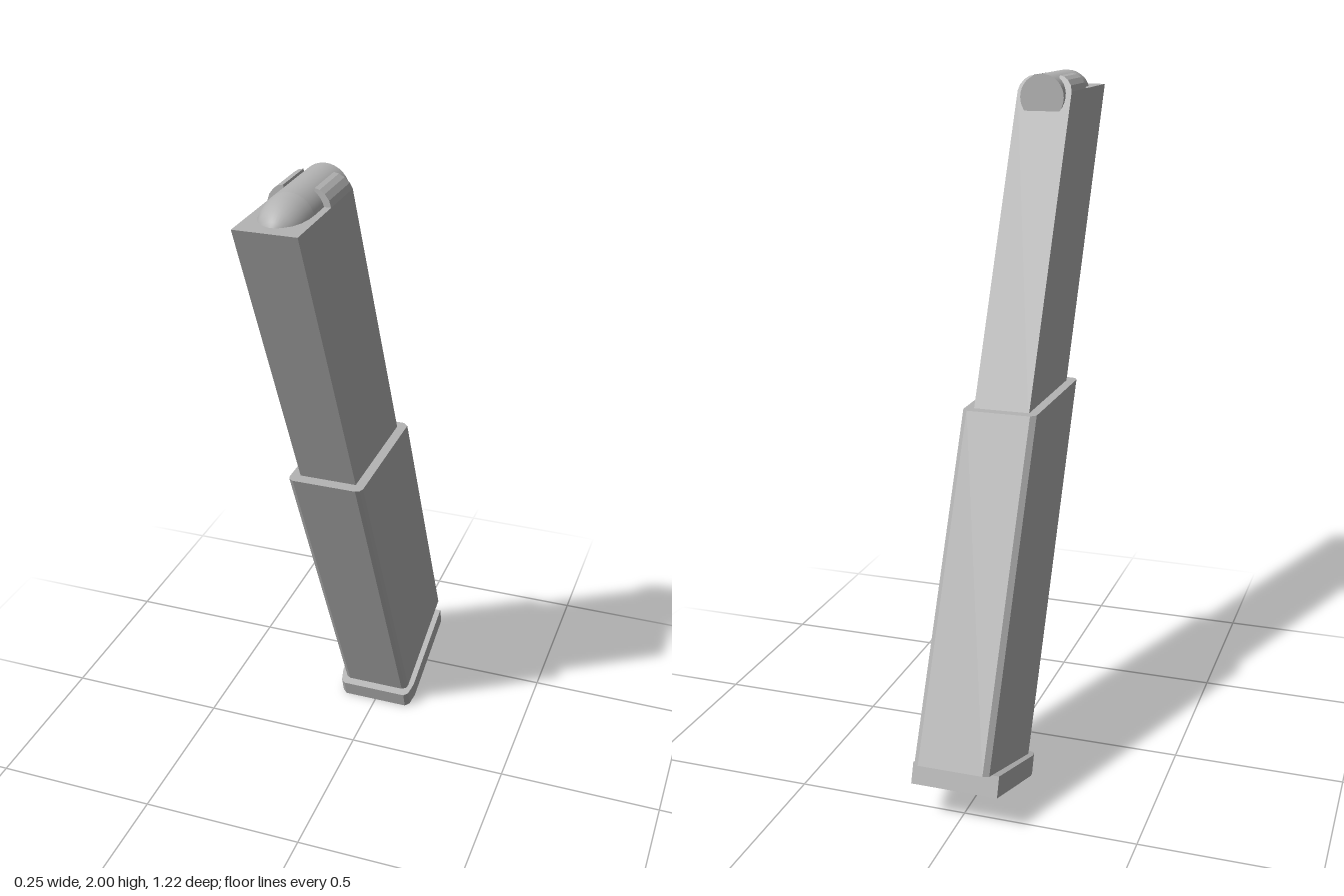
import * as THREE from 'three';

const LEAN = 0.466; // forward z shift per unit of height

const outline = (pts) => new THREE.Shape(pts.map(([x, y]) => new THREE.Vector2(x, y)));

// Mirrors a half outline (x > 0, front to back) into a closed one
const mirrored = (half) => half.concat(half.slice().reverse().map(([x, y]) => [-x, y]));

// Leaning prism: outline in (x, z at y = 0), between two height rules of z
function leaningPrism(half, bottom, top) {
  const shape = outline(mirrored(half).map(([x, z]) => [x, -z]));
  const geo = new THREE.ExtrudeGeometry(shape, { depth: 1, bevelEnabled: false });
  const p = geo.attributes.position;
  for (let i = 0; i < p.count; i++) {
    const z = -p.getY(i);
    const y = THREE.MathUtils.lerp(bottom(z), top(z), p.getZ(i));
    p.setXYZ(i, p.getX(i), y, z + LEAN * y);
  }
  geo.computeVertexNormals();
  return geo;
}

export function createModel() {
  const group = new THREE.Group();
  const grey = new THREE.MeshStandardMaterial({ color: 0xb4b4b4 });
  grey.name = 'grey metal';
  const add = (name, geo) => {
    const mesh = new THREE.Mesh(geo, grey);
    mesh.name = name;
    group.add(mesh);
    return mesh;
  };

  // Wide lower sleeve with trimmed corners and a slanted base
  add('lowerSleeve', leaningPrism(
    [[0.092, -0.263], [0.104, -0.27], [0.109, -0.283], [0.109, -0.688], [0.094, -0.703]],
    (z) => 0.068 + ((-0.263 - z) / 0.44) * 0.13,
    () => 1.095
  ));

  // Narrow upper tube
  add('upperTube', leaningPrism(
    [[0.082, -0.299], [0.082, -0.673]],
    () => 1.08,
    () => 1.95
  ));

  // Base plate, tilted with the sleeve's base
  const plate = add('basePlate', new THREE.ExtrudeGeometry(
    outline(mirrored([[0.105, 0], [0.118, 0.012], [0.126, 0.05], [0.126, 0.375]])),
    { depth: 0.06, bevelEnabled: false }
  ));
  plate.rotation.x = THREE.MathUtils.degToRad(-71.5);
  plate.position.set(0, 0.003, -0.228);

  // Curved lips at the top rear, cut along the tube's lean at the back
  for (const side of [1, -1]) {
    const lip = new THREE.ExtrudeGeometry(
      outline([[0.082, 1.93], [0.082, 1.95], [0.077, 1.967], [0.066, 1.982], [0.053, 1.991],
        [0.04, 1.994], [0.038, 1.975], [0.06, 1.93]].map(([x, y]) => [x * side, y])),
      { depth: 1, bevelEnabled: false }
    );
    const p = lip.attributes.position;
    for (let i = 0; i < p.count; i++) {
      const back = -0.673 + LEAN * p.getY(i);
      p.setZ(i, THREE.MathUtils.lerp(back, 0.39, p.getZ(i)));
    }
    lip.computeVertexNormals();
    add(side > 0 ? 'leftLip' : 'rightLip', lip);
  }

  // Round resting on top: straight case, then a rounded nose
  const caseMesh = add('roundCase', new THREE.CylinderGeometry(0.066, 0.066, 0.245, 32));
  caseMesh.rotation.x = Math.PI / 2;
  caseMesh.position.set(0, 1.934, 0.3325);
  const nose = add('roundNose', new THREE.LatheGeometry(
    [[0.066, 0], [0.064, 0.03], [0.058, 0.06], [0.047, 0.086], [0.028, 0.107], [0.012, 0.117], [0, 0.12]]
      .map(([r, y]) => new THREE.Vector2(r, y)), 32));
  nose.rotation.x = Math.PI / 2;
  nose.position.set(0, 1.934, 0.455);

  return group;
}
